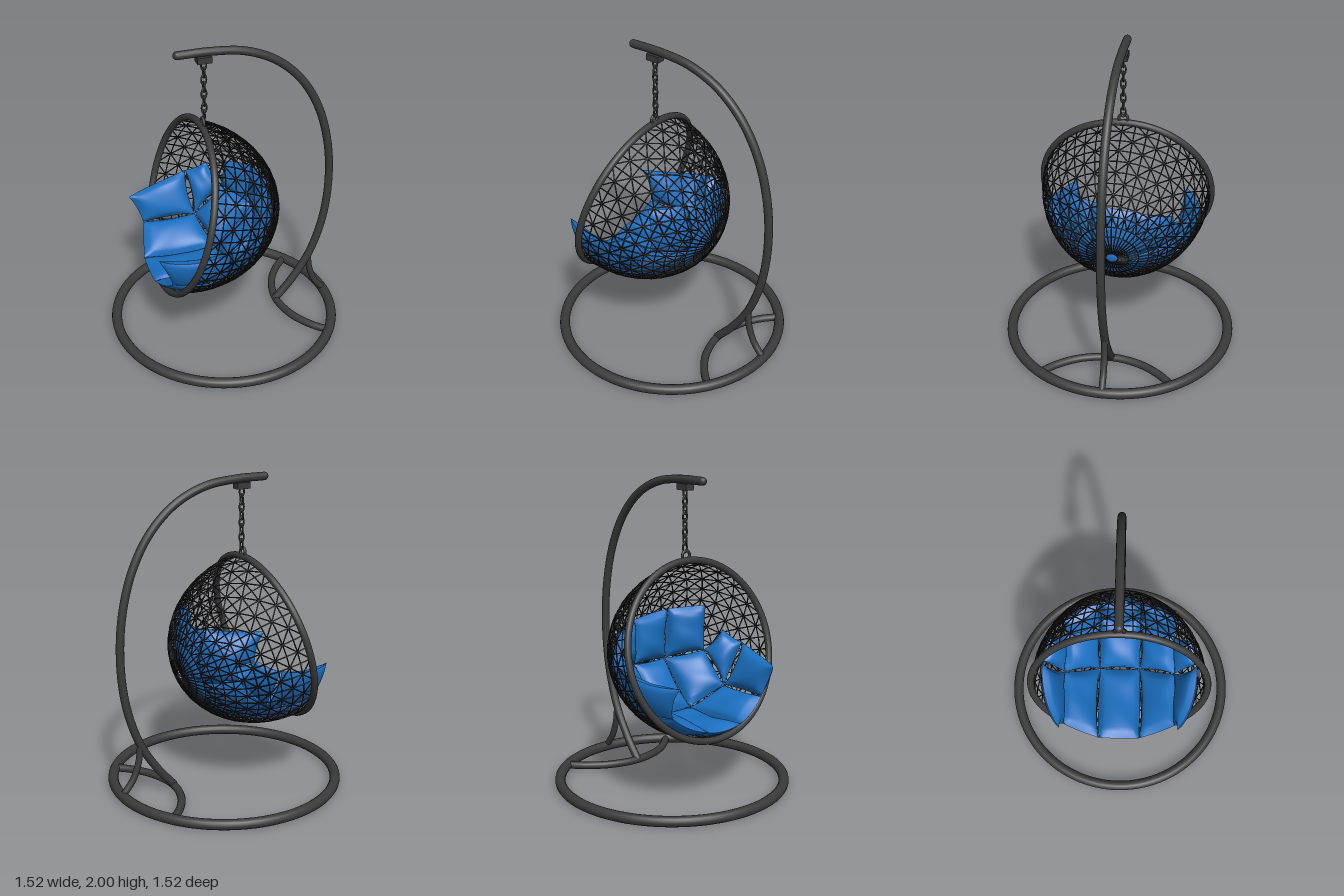
import * as THREE from 'three';
import { mergeGeometries } from 'three/addons/utils/BufferGeometryUtils.js';

const V = (x, y, z) => new THREE.Vector3(x, y, z);
const frameMat = new THREE.MeshStandardMaterial({ color: 0x3a3a3a });
const wireMat = new THREE.MeshStandardMaterial({ color: 0x1c1c1c });
const fabricMat = new THREE.MeshStandardMaterial({ color: 0x1a6fc0, side: THREE.DoubleSide });

// Basket: half ellipsoid around a tilted axis, opening towards -x
const CENTRE = V(-0.29, 0.945, 0);
const AXIS = V(0.963, -0.27, 0).normalize(); // towards the closed end
const UP = V(0.27, 0.963, 0).normalize();
const RADIUS = 0.55, DEPTH = 0.635;

// Unit-sphere coordinates (axis, up, side) to model space
const bowlPoint = (v) => CENTRE.clone()
  .addScaledVector(AXIS, v.x * DEPTH)
  .addScaledVector(UP, v.y * RADIUS)
  .add(V(0, 0, v.z * RADIUS));

function addMesh(parent, name, geometry, material) {
  const mesh = new THREE.Mesh(geometry, material);
  mesh.name = name;
  parent.add(mesh);
  return mesh;
}

// Round bar through points, with domed ends
function bar(parent, name, points, r, steps = 64) {
  const curve = new THREE.CatmullRomCurve3(points.map((p) => V(...p)));
  const parts = [new THREE.TubeGeometry(curve, steps, r, 14)];
  for (const p of [points[0], points.at(-1)]) {
    parts.push(new THREE.SphereGeometry(r, 14, 10).translate(...p));
  }
  return addMesh(parent, name, mergeGeometries(parts), frameMat);
}

// Thin straight strand between two points
function strand(a, b, r) {
  const d = b.clone().sub(a);
  const g = new THREE.CylinderGeometry(r, r, d.length(), 5, 1, true);
  g.applyQuaternion(new THREE.Quaternion().setFromUnitVectors(V(0, 1, 0), d.normalize()));
  return g.translate(...a.clone().add(b).multiplyScalar(0.5).toArray());
}

// Woven shell: rings, ribs and alternating diagonals
function wovenShell(parent) {
  const rings = 13, ribs = 44, r = 0.0042, parts = [];
  const at = (k, j) => {
    const t = Math.PI / 2 - (k / rings) * (Math.PI / 2 - 0.07);
    const a = (j / ribs) * Math.PI * 2;
    return bowlPoint(V(Math.cos(t), Math.sin(t) * Math.cos(a), Math.sin(t) * Math.sin(a)));
  };
  for (let k = 0; k <= rings; k++) {
    for (let j = 0; j < ribs; j++) {
      parts.push(strand(at(k, j), at(k, j + 1), r));
      if (k === rings) continue;
      parts.push(strand(at(k, j), at(k + 1, j), r));
      if (k > rings - 4) continue;
      if ((k + j) % 2) parts.push(strand(at(k, j), at(k + 1, j + 1), r));
      else parts.push(strand(at(k, j + 1), at(k + 1, j), r));
    }
  }
  addMesh(parent, 'wovenShell', mergeGeometries(parts), wireMat);
}

// Corner given by angle from the lower rim to the back, angle to the side, and scale
function corner([psi, lam, s = 0.96]) {
  const p = THREE.MathUtils.degToRad(psi), l = THREE.MathUtils.degToRad(lam);
  return V(Math.cos(l) * Math.sin(p), -Math.cos(l) * Math.cos(p), Math.sin(l)).multiplyScalar(s);
}

// Puffy pad stretched between four corners of the bowl's inside
function pad(corners, thick, pinch) {
  const c = corners.map(corner), n = 16, pos = [], index = [];
  const mix = (f, a, b) => (f(0) * (1 - a) + f(1) * a) * (1 - b) + (f(3) * (1 - a) + f(2) * a) * b;
  for (const side of [0, 1]) {
    for (let i = 0; i <= n; i++) {
      for (let j = 0; j <= n; j++) {
        const x = (i / n) * 2 - 1, y = (j / n) * 2 - 1;
        const a = 0.5 + 0.5 * x * (1 - pinch * (1 - y * y) * x * x);
        const b = 0.5 + 0.5 * y * (1 - pinch * (1 - x * x) * y * y);
        const w = [(1 - a) * (1 - b), a * (1 - b), a * b, (1 - a) * b];
        const v = V(0, 0, 0);
        w.forEach((k, q) => v.addScaledVector(c[q], k));
        const puff = Math.pow((1 - x * x) * (1 - y * y), 0.45);
        const fold = 0.008 * Math.sin(9 * a + 4 * b) * puff;
        const len = mix((q) => c[q].length(), a, b) - 0.03;
        v.setLength(len + (side ? -thick * puff + fold : 0.04 * puff));
        pos.push(...bowlPoint(v).toArray());
      }
    }
  }
  const m = n + 1;
  for (let s = 0; s < 2; s++) {
    for (let i = 0; i < n; i++) {
      for (let j = 0; j < n; j++) {
        const p = s * m * m + i * m + j, q = p + m;
        if (s) index.push(p, p + 1, q, q, p + 1, q + 1);
        else index.push(p, q, p + 1, q, q + 1, p + 1);
      }
    }
  }
  const g = new THREE.BufferGeometry();
  g.setAttribute('position', new THREE.Float32BufferAttribute(pos, 3));
  g.setIndex(index);
  g.computeVertexNormals();
  return g;
}

function cushion(parent) {
  const group = new THREE.Group();
  group.name = 'cushion';
  parent.add(group);
  // Tufted rows from front to back, three pads each
  const rows = [
    [[-9, -45], [-9, -15], [-9, 15], [-9, 45]],
    [[42, -45], [42, -15], [42, 15], [42, 45]],
    [[86, -45, 0.93], [86, -15, 0.93], [86, 15, 0.93], [86, 45, 0.93]],
    [[115, -44, 0.96], [122, -15, 0.92], [127, 16, 0.92], [134, 43, 0.98]],
  ];
  const names = ['frontPad', 'seatPad', 'backPad'];
  for (let r = 0; r < 3; r++) {
    for (let k = 0; k < 3; k++) {
      const q = [rows[r][k], rows[r + 1][k], rows[r + 1][k + 1], rows[r][k + 1]];
      addMesh(group, names[r], pad(q, 0.15, 0.04), fabricMat);
    }
  }
  // Side wings with a pointed front tip
  for (const s of [-1, 1]) {
    const tip = [-44, 56 * s, 0.85];
    const low = [-9, 45 * s], mid = [42, 45 * s], back = [86, 45 * s, 0.93];
    const top = [85, 72 * s, 0.98], rear = [109, 59 * s, 0.98];
    addMesh(group, 'frontWing', pad([low, mid, top, tip], 0.14, 0.1), fabricMat);
    addMesh(group, 'rearWing', pad([mid, back, rear, top], 0.13, 0.1), fabricMat);
  }
}

function chain(parent) {
  const x = -0.125, links = 8, pitch = 0.047;
  const group = new THREE.Group();
  group.name = 'chain';
  parent.add(group);
  for (let i = 0; i < links; i++) {
    const link = addMesh(group, 'chainLink', new THREE.TorusGeometry(0.016, 0.0055, 8, 18), frameMat);
    link.scale.y = 1.85;
    link.rotation.y = i % 2 ? Math.PI / 2 : 0;
    link.position.set(x, 1.89 - i * pitch, 0);
  }
  const bracket = addMesh(parent, 'chainBracket', new THREE.BoxGeometry(0.09, 0.04, 0.06), frameMat);
  bracket.position.set(x, 1.93, 0);
  const loop = addMesh(parent, 'hangingLoop', new THREE.TorusGeometry(0.028, 0.009, 10, 24), frameMat);
  loop.rotation.y = Math.PI / 2;
  loop.position.set(-0.135, 1.513, 0);
}

export function createModel() {
  const model = new THREE.Group();
  model.name = 'hangingChair';

  // Stand
  const ring = addMesh(model, 'baseRing', new THREE.TorusGeometry(0.727, 0.033, 16, 96), frameMat);
  ring.rotation.x = Math.PI / 2;
  ring.position.y = 0.037;
  bar(model, 'baseArc', [[0.59, 0.037, -0.42], [0.5, 0.037, -0.33], [0.415, 0.037, -0.19], [0.375, 0.037, 0],
    [0.415, 0.037, 0.19], [0.5, 0.037, 0.33], [0.59, 0.037, 0.42]], 0.025);
  bar(model, 'post', [[0.375, 0.045, 0], [0.48, 0.17, 0], [0.6, 0.365, 0], [0.685, 0.62, 0], [0.718, 0.9, 0],
    [0.7, 1.2, 0], [0.625, 1.48, 0], [0.5, 1.7, 0], [0.33, 1.857, 0], [0.13, 1.945, 0], [-0.08, 1.972, 0],
    [-0.285, 1.974, 0]], 0.026, 96);
  bar(model, 'postBrace', [[0.6, 0.365, 0], [0.615, 0.25, 0], [0.655, 0.14, 0], [0.727, 0.045, 0]], 0.021, 24);

  // Basket
  const rim = addMesh(model, 'basketRim', new THREE.TorusGeometry(0.556, 0.022, 14, 80), frameMat);
  rim.quaternion.setFromUnitVectors(V(0, 0, 1), AXIS);
  rim.position.copy(CENTRE);
  wovenShell(model);
  cushion(model);
  chain(model);
  return model;
}
